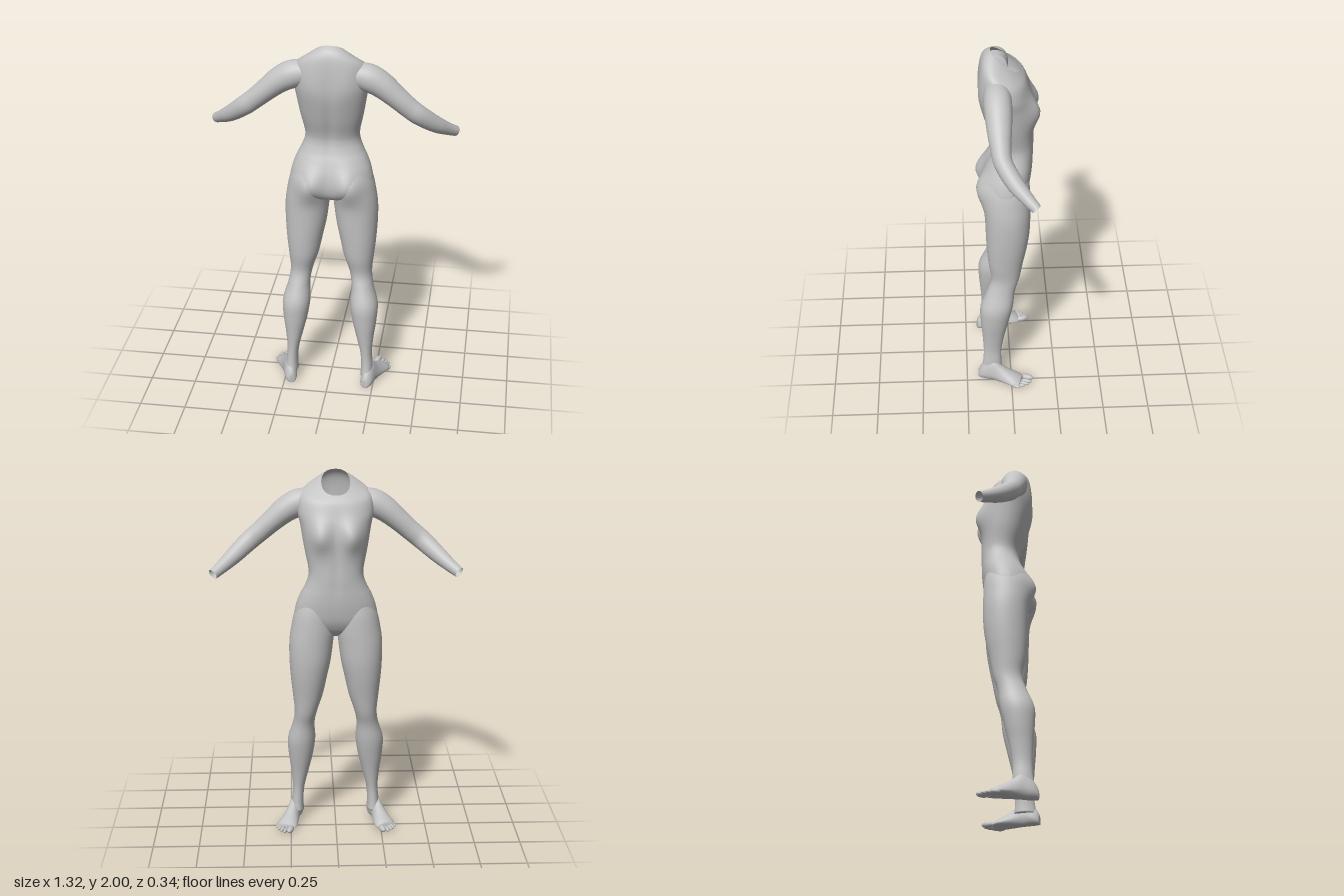
import * as THREE from 'three';

const skin = new THREE.MeshStandardMaterial({ color: 0xc2c2c2, side: THREE.DoubleSide });
skin.name = 'light grey';

// Catmull-Rom subdivision of rows of numbers
function smooth(rows, steps) {
  const out = [];
  for (let i = 0; i < rows.length - 1; i++) {
    const a = rows[Math.max(i - 1, 0)], b = rows[i], c = rows[i + 1], d = rows[Math.min(i + 2, rows.length - 1)];
    for (let s = 0; s < steps; s++) {
      const t = s / steps;
      out.push(b.map((v, k) => v + 0.5 * t * (c[k] - a[k] + t * (2 * a[k] - 5 * v + 4 * c[k] - d[k] + t * (3 * (v - c[k]) + d[k] - a[k])))));
    }
  }
  out.push(rows[rows.length - 1]);
  return out;
}

// Rounded-box outline point: exponent 2 is an ellipse, larger is squarer
function outline(j, n, e) {
  const a = (j / n) * Math.PI * 2, c = Math.cos(a), s = Math.sin(a);
  return [Math.sign(c) * Math.abs(c) ** (2 / e), Math.sign(s) * Math.abs(s) ** (2 / e)];
}

// Skin a list of closed rings, with optional end caps
function loft(name, rings, capStart, capEnd) {
  const n = rings[0].length, pts = rings.flat(), index = [];
  for (let i = 0; i < rings.length - 1; i++) {
    for (let j = 0; j < n; j++) {
      const a = i * n + j, b = i * n + (j + 1) % n;
      index.push(a, b, a + n, b, b + n, a + n);
    }
  }
  const cap = (ring, start, flip) => {
    const mid = new THREE.Vector3();
    ring.forEach(p => mid.addScaledVector(p, 1 / n));
    const m = pts.push(mid) - 1;
    for (let j = 0; j < n; j++) {
      const a = start + j, b = start + (j + 1) % n;
      index.push(...(flip ? [b, a, m] : [a, b, m]));
    }
  };
  if (capStart) cap(rings[0], 0, true);
  if (capEnd) cap(rings[rings.length - 1], (rings.length - 1) * n, false);
  const g = new THREE.BufferGeometry().setFromPoints(pts);
  g.setIndex(index);
  g.computeVertexNormals();
  const mesh = new THREE.Mesh(g, skin);
  mesh.name = name;
  return mesh;
}

// Soft body forms: x, y, spread x, spread y, height, side (+1 back, -1 front)
const forms = [
  [0.1, 1.23, 0.07, 0.085, 0.045, 1],
  [0.085, 1.68, 0.06, 0.08, 0.045, -1],
  [0.09, 1.8, 0.06, 0.09, 0.008, 1],
  [0, 1.55, 0.025, 0.22, -0.012, 1],
  [0, 1.5, 0.02, 0.14, -0.006, -1],
];
function shape(p) {
  let dz = 0;
  for (const [x, y, sx, sy, h, side] of forms) {
    const facing = THREE.MathUtils.clamp((p.z - 0.02) * side / 0.07, 0, 1);
    dz += side * h * facing * Math.exp(-(((Math.abs(p.x) - x) / sx) ** 2) - ((p.y - y) / sy) ** 2);
  }
  p.z += dz;
  return p;
}

// Horizontal ring from its bounds; tilt raises the back edge
function levelRing([y, x0, x1, z0, z1, tilt = 0], n, e) {
  return Array.from({ length: n }, (_, j) => {
    const [c, s] = outline(j, n, e), dz = s * (z1 - z0) / 2;
    return shape(new THREE.Vector3((x0 + x1) / 2 + c * (x1 - x0) / 2, y + tilt * dz, (z0 + z1) / 2 + dz));
  });
}

// Torso: height, half width, front z, back z, tilt
function makeTorso() {
  const rows = [
    [1.942, 0.075, -0.05, 0.1, 0.75],
    [1.922, 0.125, -0.062, 0.135, 0.5],
    [1.88, 0.185, -0.082, 0.153, 0.3],
    [1.8, 0.2, -0.1, 0.16, 0.1],
    [1.72, 0.186, -0.113, 0.157, 0],
    [1.6, 0.166, -0.12, 0.128, 0],
    [1.5, 0.146, -0.122, 0.095, 0],
    [1.45, 0.147, -0.122, 0.09, 0],
    [1.4, 0.165, -0.12, 0.102, 0],
    [1.35, 0.19, -0.118, 0.122, 0],
    [1.29, 0.212, -0.112, 0.138, 0],
    [1.22, 0.222, -0.098, 0.143, 0],
    [1.17, 0.19, -0.075, 0.135, 0],
    [1.14, 0.12, -0.05, 0.11, 0],
    [1.12, 0.03, -0.02, 0.06, 0],
  ];
  const rings = smooth(rows, 6).map(([y, w, zf, zb, t]) => levelRing([y, -w, w, zf, zb, t], 72, 2.3));
  return loft('torso', rings, false, true);
}

// Leg: height, inner x, outer x, front z, back z
function makeLeg() {
  const rows = [
    [1.34, 0.03, 0.18, -0.085, 0.1],
    [1.25, 0.012, 0.22, -0.1, 0.13],
    [1.16, 0.006, 0.24, -0.104, 0.14],
    [1.08, 0.014, 0.25, -0.104, 0.137],
    [0.98, 0.027, 0.25, -0.1, 0.134],
    [0.88, 0.048, 0.244, -0.086, 0.13],
    [0.78, 0.07, 0.234, -0.066, 0.122],
    [0.68, 0.102, 0.225, -0.046, 0.106],
    [0.6, 0.116, 0.236, -0.022, 0.13],
    [0.5, 0.112, 0.264, -0.01, 0.168],
    [0.4, 0.126, 0.26, 0.012, 0.168],
    [0.3, 0.15, 0.247, 0.036, 0.16],
    [0.2, 0.174, 0.239, 0.054, 0.154],
    [0.12, 0.18, 0.245, 0.055, 0.158],
    [0.06, 0.178, 0.248, 0.05, 0.17],
  ];
  return loft('leg', smooth(rows, 5).map(r => levelRing(r, 40, 2.1)), true, true);
}

// Arm: centre x, y, z, radius in the front plane, radius in depth
function makeArm() {
  const rows = smooth([
    [0.1, 1.845, 0.07, 0.06, 0.06],
    [0.19, 1.828, 0.07, 0.073, 0.07],
    [0.26, 1.792, 0.068, 0.068, 0.069],
    [0.33, 1.735, 0.066, 0.059, 0.062],
    [0.4, 1.674, 0.062, 0.054, 0.052],
    [0.46, 1.625, 0.05, 0.052, 0.047],
    [0.54, 1.558, -0.005, 0.044, 0.043],
    [0.6, 1.513, -0.06, 0.034, 0.033],
    [0.642, 1.485, -0.1, 0.028, 0.026],
  ], 6);
  const at = i => new THREE.Vector3(...rows[THREE.MathUtils.clamp(i, 0, rows.length - 1)].slice(0, 3));
  const rings = rows.map((r, i) => {
    const t = at(i + 1).sub(at(i - 1)).normalize();
    const u = new THREE.Vector3(0, 0, 1).cross(t).normalize();
    const v = t.clone().cross(u);
    return Array.from({ length: 32 }, (_, j) => {
      const [c, s] = outline(j, 32, 2);
      return at(i).addScaledVector(u, c * r[3]).addScaledVector(v, s * r[4]);
    });
  });
  return loft('arm', rings, true, false);
}

// Foot: distance from heel, half width, height; toes run forward of it
function makeFoot() {
  const foot = new THREE.Group();
  foot.name = 'foot';
  const rows = [
    [0, 0.016, 0.05], [0.012, 0.028, 0.075], [0.04, 0.036, 0.11], [0.085, 0.036, 0.13],
    [0.13, 0.042, 0.1], [0.18, 0.052, 0.07], [0.22, 0.057, 0.05], [0.25, 0.05, 0.032],
  ];
  const rings = smooth(rows, 4).map(([d, w, h]) => Array.from({ length: 32 }, (_, j) => {
    const [c, s] = outline(j, 32, 2.2);
    return new THREE.Vector3(-c * w * (s > 0 ? 1 - 0.25 * s : 1), Math.max(0, h * (0.35 + (s > 0 ? 0.65 : 0.4) * s)), -d);
  }));
  foot.add(loft('footBody', rings, true, true));
  const toes = [[-0.036, 0.275, 0.017, 0.036], [-0.009, 0.275, 0.011, 0.035], [0.012, 0.266, 0.011, 0.033],
    [0.031, 0.25, 0.0105, 0.031], [0.048, 0.233, 0.01, 0.027]];
  for (const [x, d, r, len] of toes) {
    const toe = new THREE.Mesh(new THREE.SphereGeometry(1, 16, 12), skin);
    toe.name = 'toe';
    toe.scale.set(r, r, len);
    toe.position.set(x, r, -d);
    foot.add(toe);
  }
  foot.position.set(0.205, 0, 0.183);
  foot.rotation.y = -0.31;
  return foot;
}

export function createModel() {
  const model = new THREE.Group();
  model.name = 'mannequin';
  model.add(makeTorso());
  // Paired limbs, mirrored across the middle
  for (const [name, side] of [['leftLimbs', 1], ['rightLimbs', -1]]) {
    const limbs = new THREE.Group();
    limbs.name = name;
    limbs.add(makeArm(), makeLeg(), makeFoot());
    limbs.scale.x = side;
    model.add(limbs);
  }
  return model;
}
